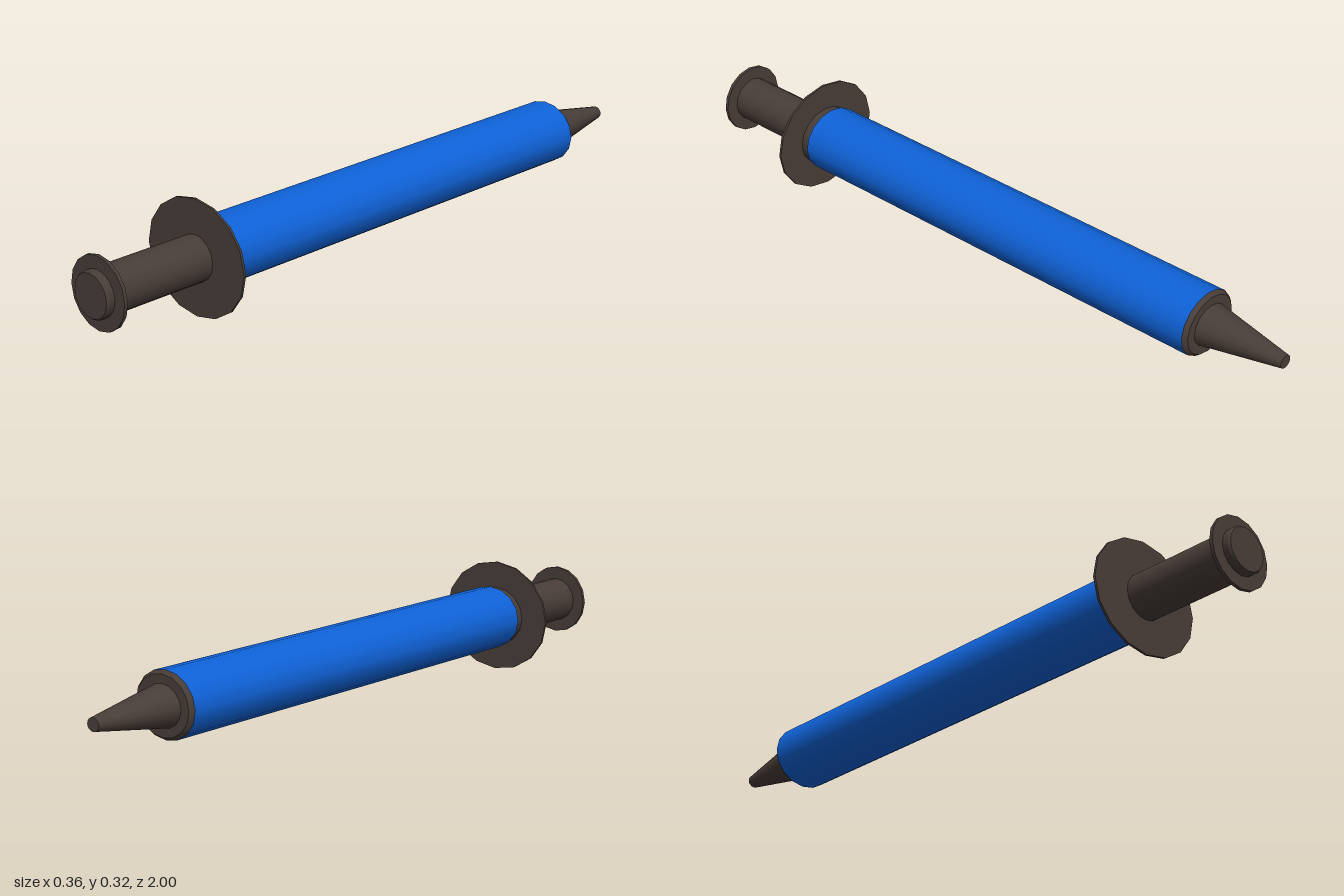
import * as THREE from 'three';

const SIDES = 16;
const AXIS_Y = 0.161;

export function createModel() {
  const group = new THREE.Group();
  const dark = new THREE.MeshStandardMaterial({ color: 0x483d38 });
  const blue = new THREE.MeshStandardMaterial({ color: 0x0f62d8 });

  // Round section along z from zBack to zFront; squash flattens its height
  function section(name, material, zBack, zFront, rBack, rFront, squash = 1, open = false) {
    const geometry = new THREE.CylinderGeometry(rFront, rBack, zFront - zBack, SIDES, 1, open);
    geometry.rotateX(Math.PI / 2);
    geometry.scale(1, squash, 1);
    const mesh = new THREE.Mesh(geometry, material);
    mesh.name = name;
    mesh.position.set(0, AXIS_Y, (zBack + zFront) / 2);
    group.add(mesh);
  }

  // Barrel with its bevelled dark end and front collar
  section('barrel', blue, -0.752, 0.622, 0.101, 0.101, 0.9);
  section('barrelEndBevel', dark, -0.764, -0.752, 0.091, 0.101, 0.9);
  section('barrelCollar', dark, 0.622, 0.65, 0.095, 0.095, 0.9);

  // Tapered nozzle
  section('nozzle', dark, -1, -0.764, 0.02, 0.064, 0.9);

  // Finger flange
  section('fingerFlange', dark, 0.649, 0.656, 0.178, 0.178, 0.904);

  // Plunger with thumb disc and end button
  section('plungerRod', dark, 0.656, 0.967, 0.064, 0.064);
  section('thumbDisc', dark, 0.967, 0.977, 0.1, 0.1);
  section('plungerButton', dark, 0.977, 0.994, 0.064, 0.064);
  section('plungerButtonBevel', dark, 0.994, 1, 0.064, 0.06);

  return group;
}
